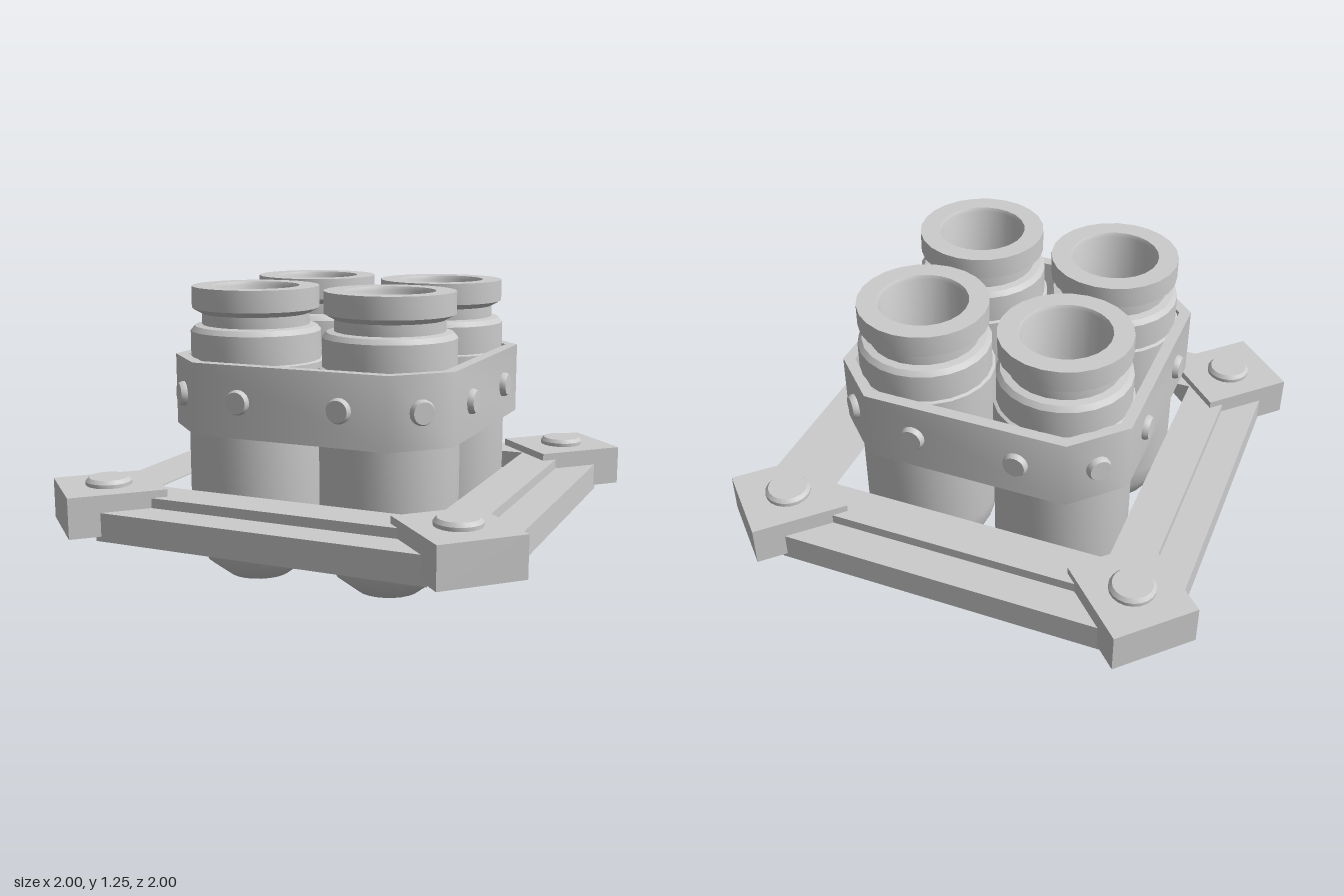
import * as THREE from 'three';
import { toCreasedNormals } from 'three/addons/utils/BufferGeometryUtils.js';

const grey = new THREE.MeshStandardMaterial({ color: 0xcccccc });
const greySheet = new THREE.MeshStandardMaterial({ color: 0xcccccc, side: THREE.DoubleSide });

function add(parent, name, geometry, x = 0, y = 0, z = 0, material = grey) {
  const mesh = new THREE.Mesh(geometry, material);
  mesh.name = name;
  mesh.position.set(x, y, z);
  parent.add(mesh);
  return mesh;
}

function lathe(profile, segments) {
  const points = profile.map(([r, y]) => new THREE.Vector2(r, y));
  return toCreasedNormals(new THREE.LatheGeometry(points, segments), 0.6);
}

// Square with cut corners: half width a, straight edges ending at b
function octagon(PathType, a, b) {
  const corners = [[a, -b], [a, b], [b, a], [-b, a], [-a, b], [-a, -b], [-b, -a], [b, -a]];
  return new PathType(corners.map(([x, y]) => new THREE.Vector2(x, y)));
}

// Slightly tapered bolt head, base at y = 0
function boltGeometry(r, h) {
  return lathe([[r, 0], [r, h * 0.5], [r * 0.86, h], [0, h]], 20);
}

// Box without its underside
function openBox(w, h, d) {
  const box = new THREE.BoxGeometry(w, h, d);
  const index = Array.from(box.index.array);
  index.splice(18, 6);
  box.setIndex(index);
  box.clearGroups();
  return box;
}

// Folded sheet: a [z, y] profile swept along x
function foldedSheet(profile, halfLength) {
  const positions = [];
  for (let i = 0; i < profile.length - 1; i++) {
    const [z0, y0] = profile[i];
    const [z1, y1] = profile[i + 1];
    const a = [-halfLength, y0, z0];
    const b = [halfLength, y0, z0];
    const c = [halfLength, y1, z1];
    const d = [-halfLength, y1, z1];
    positions.push(...a, ...b, ...c, ...a, ...c, ...d);
  }
  const sheet = new THREE.BufferGeometry();
  sheet.setAttribute('position', new THREE.Float32BufferAttribute(positions, 3));
  sheet.computeVertexNormals();
  return sheet;
}

export function createModel() {
  const model = new THREE.Group();
  model.name = 'tubeRack';

  // Four round-bottomed tubes with a grooved neck and hollow mouth
  const tube = lathe([
    [0, 0], [0.13, 0.04], [0.22, 0.11], [0.265, 0.2], [0.28, 0.285],
    [0.28, 0.95], [0.267, 0.955], [0.267, 1.07], [0.25, 1.09], [0.22, 1.095],
    [0.22, 1.14], [0.26, 1.162], [0.26, 1.25], [0.18, 1.25], [0.172, 1.235],
    [0.172, 0.6], [0, 0.6],
  ], 24);
  for (const x of [-0.295, 0.295]) {
    for (const z of [-0.295, 0.295]) add(model, 'tube', tube, x, 0, z);
  }

  // Octagonal strap around the tubes, shaded smoothly round its corners
  const strapShape = octagon(THREE.Shape, 0.607, 0.415);
  strapShape.holes.push(octagon(THREE.Path, 0.56, 0.4));
  const strap = new THREE.ExtrudeGeometry(strapShape, { depth: 0.29, bevelEnabled: false });
  strap.rotateX(-Math.PI / 2);
  add(model, 'strap', toCreasedNormals(strap, 0.9), 0, 0.677, 0);

  // Strap bolts: two per side and one per cut corner
  const strapBolt = boltGeometry(0.05, 0.028);
  strapBolt.rotateX(Math.PI / 2);

  // Stepped sheet rail, hollow corner block and bolts, repeated on four sides
  const rail = foldedSheet(
    [[0.912, 0.29], [0.912, 0.405], [0.77, 0.405], [0.77, 0.445], [0.595, 0.445]], 0.685);
  const block = openBox(0.39, 0.165, 0.354);
  const blockBolt = boltGeometry(0.092, 0.03);
  for (let i = 0; i < 4; i++) {
    const side = new THREE.Group();
    side.name = 'rackSide';
    side.rotation.y = (i * Math.PI) / 2;
    model.add(side);

    add(side, 'rail', rail, 0, 0, 0, greySheet);

    for (const x of [-0.215, 0.215]) add(side, 'strapBolt', strapBolt, x, 0.822, 0.603);
    const cornerBolt = add(side, 'cornerStrapBolt', strapBolt, 0.509, 0.822, 0.509);
    cornerBolt.rotation.y = Math.PI / 4;

    const cornerBlock = add(side, 'cornerBlock', block, 0.737, 0.3925, 0.737, greySheet);
    cornerBlock.rotation.y = -Math.PI / 4;
    add(side, 'cornerBlockBolt', blockBolt, 0.738, 0.475, 0.738);
  }
  return model;
}
